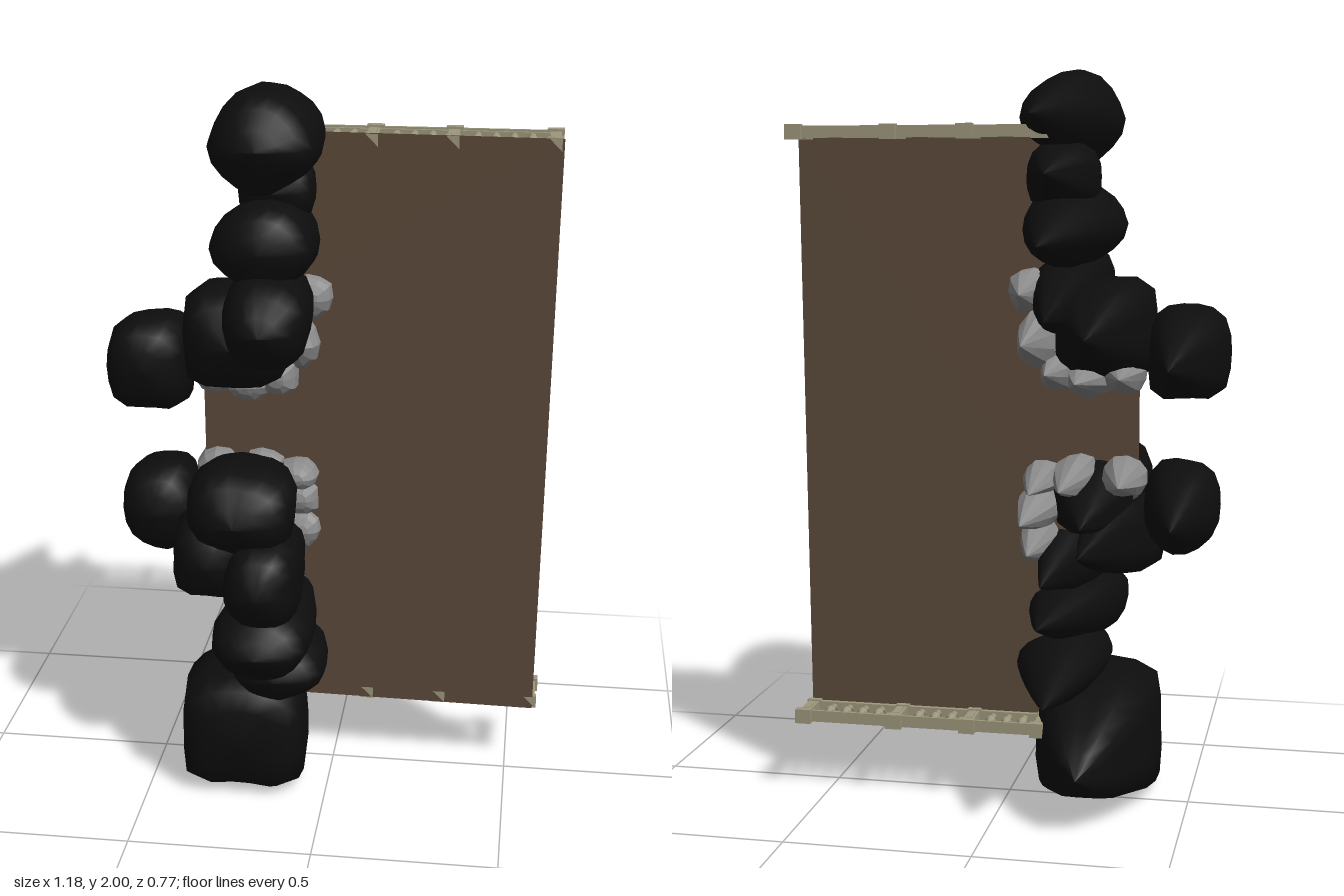
import * as THREE from 'three';

// Rock profile: [distance from blunt front to pointed back, radius]
const PROFILE = [[0, 0], [0.005, 0.4], [0.035, 0.74], [0.1, 0.93], [0.2, 1], [0.33, 0.97],
  [0.48, 0.84], [0.64, 0.62], [0.8, 0.37], [0.92, 0.16], [1, 0]];

// Tapered boulder filling x0..x1, y0..y1, from z0 (front) to a tip at tx, ty, z1
function rockGeometry([x0, x1, y0, y1, z0, z1, tx, ty, n = 2.5, blunt = 1], seed, sides, rough) {
  const pos = [], index = [];
  const cx = (x0 + x1) / 2, cy = (y0 + y1) / 2, rx = (x1 - x0) / 2, ry = (y1 - y0) / 2;
  PROFILE.forEach(([t, r], i) => {
    const lean = Math.pow(Math.max(0, (t - 0.15) / 0.85), 1.2);
    const px = cx + (tx - cx) * lean, py = cy + (ty - cy) * lean;
    for (let j = 0; j < sides; j++) {
      const a = j / sides * Math.PI * 2;
      const c = Math.cos(a), s = Math.sin(a);
      const k = Math.pow(Math.abs(c) ** n + Math.abs(s) ** n, -1 / n);
      const bump = 1 + rough * (Math.sin(3 * a + seed * 1.7) + 0.7 * Math.sin(5 * a + seed * 2.9 + t * 4) - 0.4);
      const rr = Math.pow(r, blunt) * k * bump;
      const slant = 0.06 * (z0 - z1) * s * r * Math.sin(seed) * (1 - t);
      pos.push(px + rx * rr * c, py + ry * rr * s, z0 + (z1 - z0) * t - Math.abs(slant));
      if (i < PROFILE.length - 1) {
        const p = i * sides + j, q = i * sides + (j + 1) % sides;
        index.push(p, p + sides, q, p + sides, q + sides, q);
      }
    }
  });
  const g = new THREE.BufferGeometry();
  g.setAttribute('position', new THREE.Float32BufferAttribute(pos, 3));
  g.setIndex(index);
  g.computeVertexNormals();
  return g;
}

export function createModel() {
  const root = new THREE.Group();
  const material = (name, color, extra = {}) => {
    const m = new THREE.MeshStandardMaterial({ color, ...extra });
    m.name = name;
    return m;
  };
  const black = material('blackRock', 0x0d0d0d);
  const grey = material('greyRock', 0x8c8c8c, { flatShading: true });
  const brown = material('brownBoard', 0x5c4a3a, { side: THREE.DoubleSide });
  const stone = material('paleStone', 0x9d987d);

  const add = (parent, name, geometry, mat, x = 0, y = 0, z = 0) => {
    const mesh = new THREE.Mesh(geometry, mat);
    mesh.name = name;
    mesh.position.set(x, y, z);
    parent.add(mesh);
    return mesh;
  };

  // Thin backing board with a tab reaching through the gap between the rocks
  const outline = [[0.588, 1.838], [-0.1, 1.842], [-0.13, 1.42], [-0.355, 1.25], [-0.355, 0.85],
    [-0.14, 0.72], [-0.14, 0.203], [0.573, 0.195]];
  const boardShape = new THREE.Shape(outline.map(([x, y]) => new THREE.Vector2(x, y)));
  add(root, 'board', new THREE.ShapeGeometry(boardShape), brown, 0, 0, -0.004);

  // Dark boulders: x0, x1, y0, y1, front z, back z, tip x, tip y, squareness, bluntness
  const darkRocks = [
    [-0.28, 0.0, 1.73, 2.0, 0.39, -0.26, -0.1, 1.86, 1.7],
    [-0.24, -0.04, 1.61, 1.8, 0.13, -0.22, -0.13, 1.71, 3],
    [-0.3, -0.02, 1.46, 1.7, 0.27, -0.38, -0.14, 1.53, 1.8],
    [-0.25, -0.03, 1.28, 1.53, 0.39, -0.38, -0.16, 1.345, 2.8],
    [-0.4, -0.11, 1.16, 1.44, 0.18, -0.37, -0.26, 1.3, 4],
    [-0.59, -0.37, 1.11, 1.365, 0.2, -0.3, -0.46, 1.22, 4],
    [-0.57, -0.36, 0.69, 0.95, 0.18, -0.29, -0.47, 0.81, 2.4],
    [-0.37, -0.08, 0.73, 0.99, 0.33, -0.3, -0.24, 0.81, 3.2],
    [-0.41, -0.2, 0.61, 0.86, 0.32, -0.33, -0.24, 0.74, 3.5],
    [-0.26, -0.06, 0.56, 0.81, 0.39, -0.26, -0.13, 0.645, 3],
    [-0.3, -0.03, 0.4, 0.62, 0.39, -0.26, -0.12, 0.53, 2.1],
    [-0.27, 0.0, 0.28, 0.48, 0.27, -0.385, -0.16, 0.355, 1.8],
    [-0.41, -0.06, 0.0, 0.355, 0.27, -0.35, -0.24, 0.16, 6, 0.65],
  ];
  const boulders = new THREE.Group();
  boulders.name = 'darkBoulders';
  darkRocks.forEach((r, i) => add(boulders, 'boulder', rockGeometry(r, i + 1, 18, 0.025), black));
  root.add(boulders);

  // Smaller grey stones lining the opening
  const greyRocks = [
    [-0.12, 0.0, 1.34, 1.465, 0.05, -0.19, -0.06, 1.4],
    [-0.16, -0.035, 1.19, 1.36, 0.06, -0.32, -0.09, 1.28],
    [-0.2, -0.09, 1.13, 1.25, 0.08, -0.26, -0.14, 1.2],
    [-0.29, -0.16, 1.115, 1.22, 0.09, -0.27, -0.22, 1.18],
    [-0.375, -0.25, 1.13, 1.23, 0.08, -0.24, -0.33, 1.19],
    [-0.15, -0.04, 0.86, 0.945, 0.08, -0.21, -0.09, 0.88],
    [-0.15, -0.035, 0.765, 0.88, 0.04, -0.28, -0.08, 0.81],
    [-0.14, -0.035, 0.67, 0.785, 0.04, -0.18, -0.08, 0.71],
    [-0.25, -0.13, 0.85, 0.965, 0.06, -0.27, -0.18, 0.9],
    [-0.38, -0.25, 0.85, 0.96, 0.06, -0.24, -0.33, 0.91],
  ];
  const stones = new THREE.Group();
  stones.name = 'openingStones';
  greyRocks.forEach((r, i) => add(stones, 'stone', rockGeometry(r, i + 4, 11, 0.045), grey));
  root.add(stones);

  // Balustrades lying on their side behind the board
  const balusterProfile = [[0.006, 0], [0.011, 0.004], [0.006, 0.012], [0.014, 0.03], [0.015, 0.038],
    [0.006, 0.058], [0.006, 0.066], [0.011, 0.076], [0.007, 0.082]].map(([r, h]) => new THREE.Vector2(r, h));
  const balusterGeometry = new THREE.LatheGeometry(balusterProfile, 8).rotateX(-Math.PI / 2);
  const corner = new THREE.ShapeGeometry(new THREE.Shape([
    new THREE.Vector2(-0.017, 0.017), new THREE.Vector2(0.017, -0.017), new THREE.Vector2(0.017, 0.017)]));
  const posts = [-0.1, 0.098, 0.305, 0.565];

  const makeBalustrade = (y) => {
    const rail = new THREE.Group();
    rail.name = 'balustrade';
    const box = (name, w, h, d, x, z) => add(rail, name, new THREE.BoxGeometry(w, h, d), stone, x, 0, z);
    box('baseRail', 0.69, 0.028, 0.014, 0.235, -0.013);
    box('handRail', 0.69, 0.022, 0.008, 0.235, -0.103);
    box('handRailCap', 0.69, 0.032, 0.008, 0.235, -0.111);
    posts.forEach((x, i) => {
      box('postBase', 0.038, 0.036, 0.017, x, -0.013);
      box('postShaft', 0.03, 0.028, 0.085, x, -0.06);
      box('postPanel', 0.016, 0.032, 0.055, x, -0.06);
      box('postCap', 0.044, 0.04, 0.023, x, -0.115);
      if (i) add(rail, 'postCorner', corner, stone, x, 0, -0.002);
      if (i < posts.length - 1) {
        const count = i === 2 ? 4 : 3;
        const gap = posts[i + 1] - x;
        for (let k = 1; k <= count; k++) {
          const bx = x + gap * (k + 0.1 * (k - (count + 1) / 2) * -1) / (count + 1);
          add(rail, 'baluster', balusterGeometry, stone, bx, 0, -0.019);
        }
      }
    });
    rail.position.y = y;
    root.add(rail);
  };
  makeBalustrade(1.822);
  makeBalustrade(0.215);

  return root;
}
